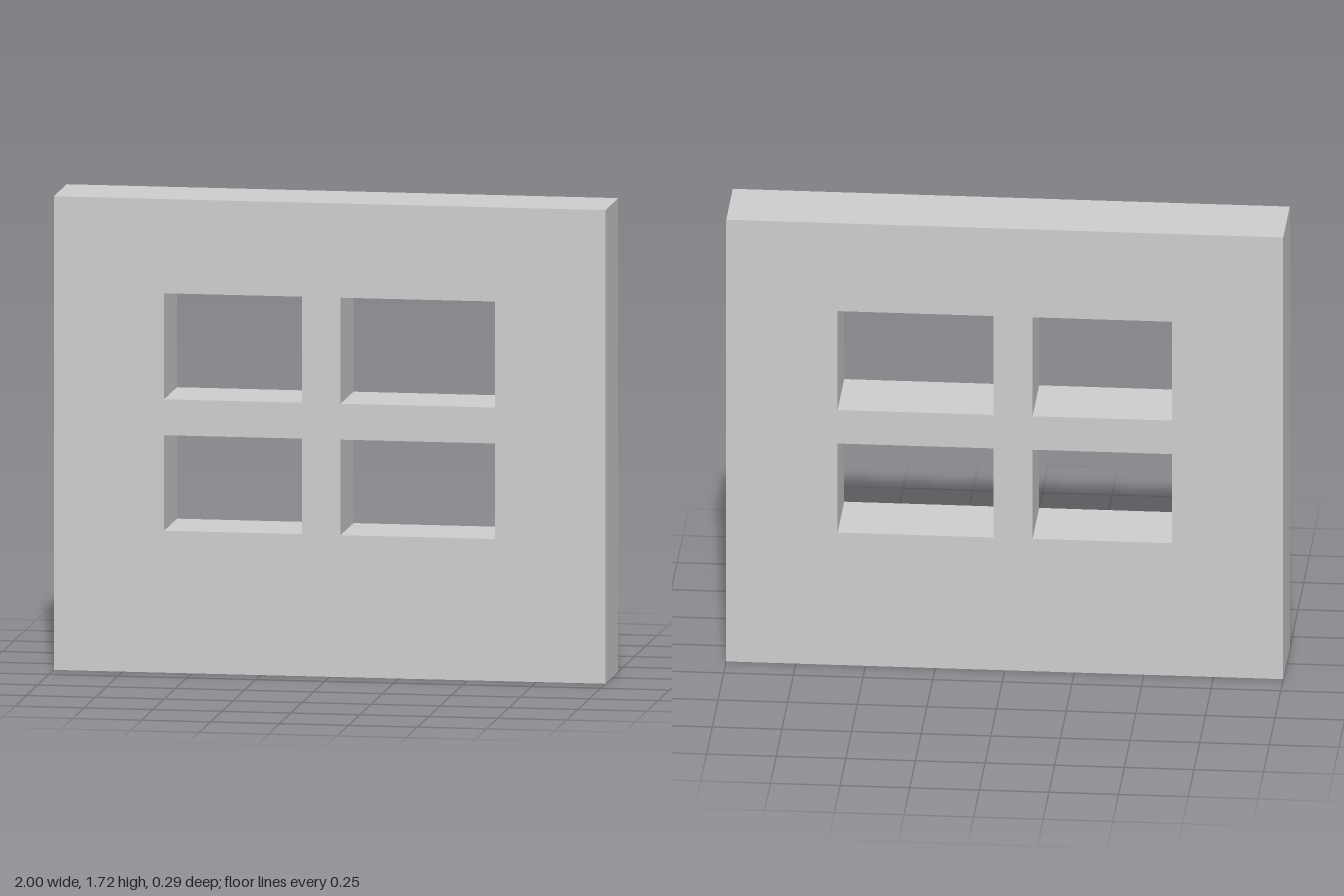
import * as THREE from 'three';

const WIDTH = 2, HEIGHT = 1.715, DEPTH = 0.286;
const COLUMNS = [[-0.6, -0.1], [0.04, 0.6]];   // x ranges of the panes
const ROWS = [[0.514, 0.86], [0.99, 1.374]];   // y ranges of the panes

// Rectangle outline between two corners
function rectangle(PathType, x0, y0, x1, y1) {
  const path = new PathType();
  path.moveTo(x0, y0);
  path.lineTo(x1, y0);
  path.lineTo(x1, y1);
  path.lineTo(x0, y1);
  path.closePath();
  return path;
}

export function createModel() {
  const group = new THREE.Group();
  group.name = 'windowWall';

  // Solid wall with four openings, leaving a cross of glazing bars
  const outline = rectangle(THREE.Shape, -WIDTH / 2, 0, WIDTH / 2, HEIGHT);
  for (const [x0, x1] of COLUMNS) {
    for (const [y0, y1] of ROWS) {
      outline.holes.push(rectangle(THREE.Path, x0, y0, x1, y1));
    }
  }
  const geometry = new THREE.ExtrudeGeometry(outline, { depth: DEPTH, bevelEnabled: false });
  geometry.translate(0, 0, -DEPTH / 2);

  const wall = new THREE.Mesh(geometry, new THREE.MeshStandardMaterial({ color: 0xcccccc }));
  wall.name = 'wallWithWindowOpenings';
  group.add(wall);
  return group;
}
